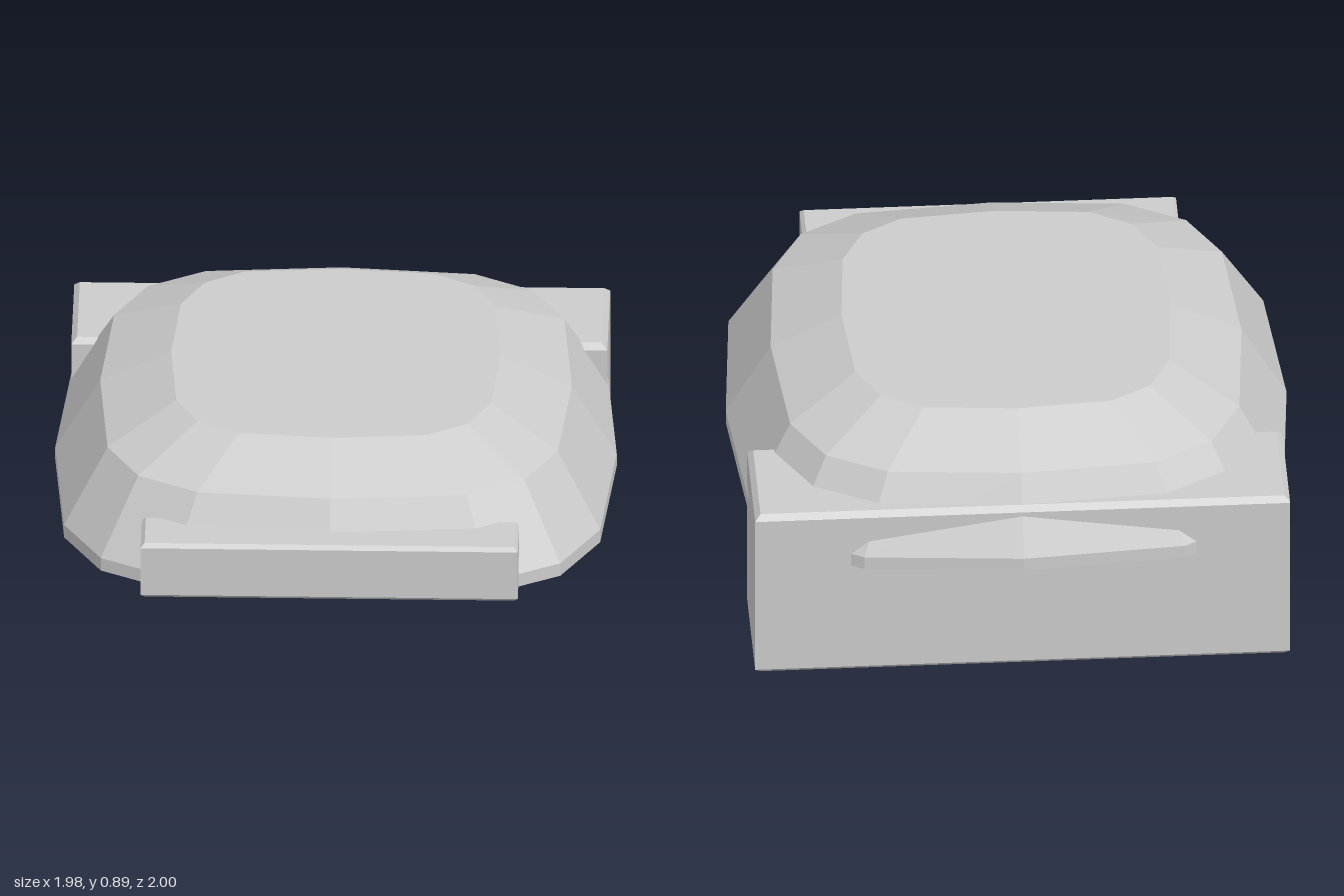
import * as THREE from 'three';

const grey = { color: 0xcccccc, flatShading: true };

// Block whose top and bottom edges are chamfered, upright edges sharp
function chamferedBlock(name, w, d, y0, y1, z, c) {
  const s = new THREE.Shape();
  const hw = w / 2 - c, hd = d / 2 - c;
  s.moveTo(-hw, -hd).lineTo(hw, -hd).lineTo(hw, hd).lineTo(-hw, hd).closePath();
  const g = new THREE.ExtrudeGeometry(s, {
    depth: y1 - y0 - 2 * c, bevelEnabled: true, bevelSegments: 1, bevelSize: c, bevelThickness: c,
  });
  g.rotateX(-Math.PI / 2).translate(0, y0 + c, z);
  const m = new THREE.Mesh(g, new THREE.MeshStandardMaterial(grey));
  m.name = name;
  return m;
}

// Open-bottomed faceted shell lofted through scaled copies of one rounded-square outline
function domeShell() {
  const q = [[0.99, 0], [0.945, 0.56], [0.81, 0.81], [0.57, 0.945]];
  const outline = [];
  for (let k = 0; k < 4; k++) {
    for (const [x, z] of q) {
      outline.push([[x, z], [-z, x], [-x, -z], [z, -x]][k]);
    }
  }
  // each ring: height, x scale, z scale
  const rings = [[0.45, 1, 1], [0.5, 1, 1], [0.77, 0.84, 0.857], [0.89, 0.587, 0.626]];
  const pos = [], idx = [], n = outline.length;
  for (const [y, sx, sz] of rings) for (const [x, z] of outline) pos.push(x * sx, y, z * sz);
  for (let r = 0; r < rings.length - 1; r++) {
    for (let i = 0; i < n; i++) {
      const a = r * n + i, b = r * n + (i + 1) % n;
      idx.push(a, a + n, b, b, a + n, b + n);
    }
  }
  // flat crown
  const top = (rings.length - 1) * n, centre = pos.length / 3;
  pos.push(0, 0.89, 0);
  for (let i = 0; i < n; i++) idx.push(top + i, centre, top + (i + 1) % n);

  const g = new THREE.BufferGeometry();
  g.setAttribute('position', new THREE.Float32BufferAttribute(pos, 3));
  g.setIndex(idx);
  const flat = g.toNonIndexed();
  flat.computeVertexNormals();
  const m = new THREE.Mesh(flat, new THREE.MeshStandardMaterial({ ...grey, side: THREE.DoubleSide }));
  m.name = 'domeShell';
  m.position.z = -0.01;
  return m;
}

export function createModel() {
  const group = new THREE.Group();
  group.name = 'domedCover';
  group.add(
    domeShell(),
    chamferedBlock('rearBlock', 1.89, 0.44, 0, 0.67, -0.71, 0.02),
    chamferedBlock('frontBar', 1.33, 0.21, 0.45, 0.665, 0.895, 0.014),
  );
  return group;
}
